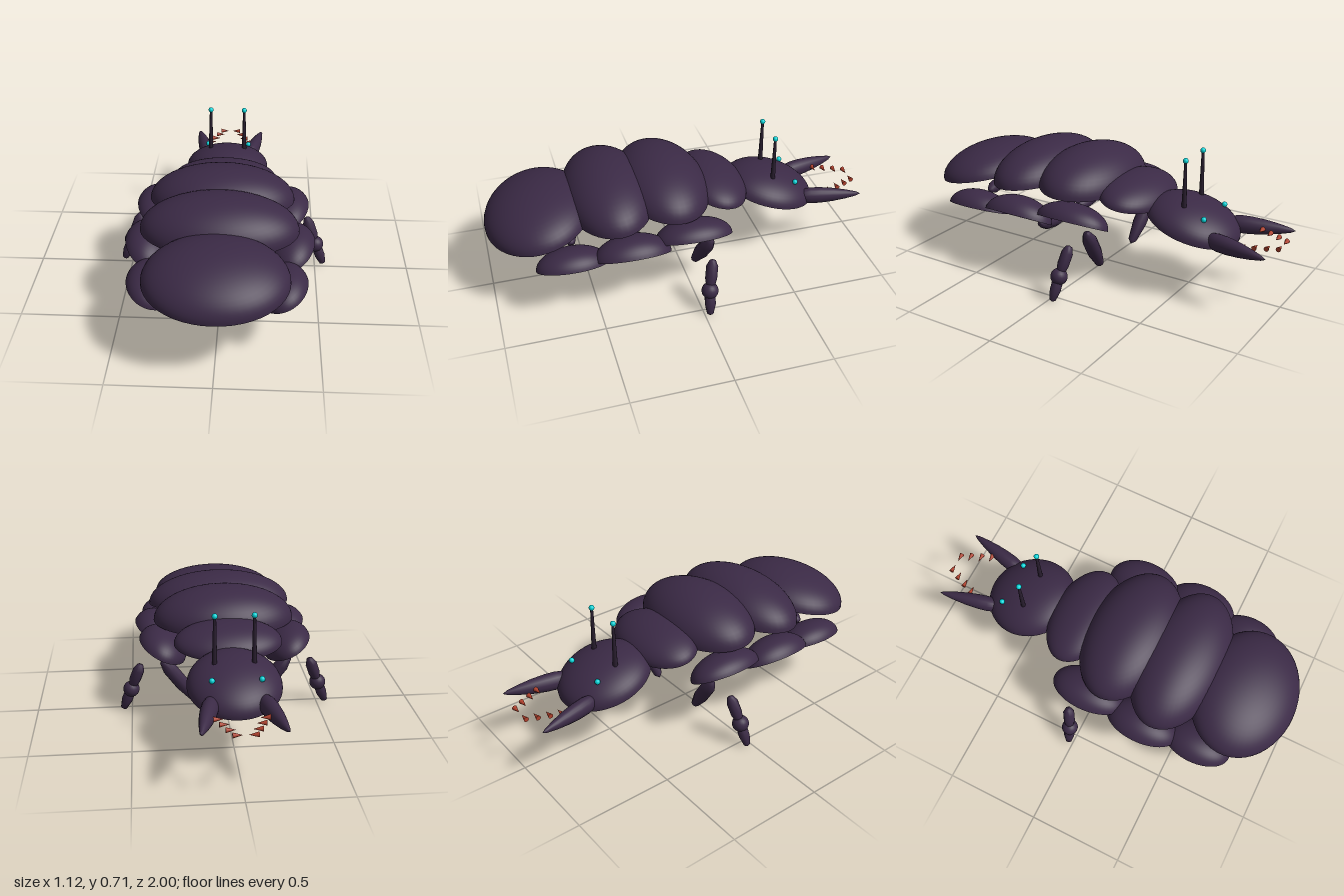
import * as THREE from 'three';
import { toCreasedNormals } from 'three/addons/utils/BufferGeometryUtils.js';

const mat = (name, color, opts = {}) => {
  const m = new THREE.MeshStandardMaterial({ color, ...opts });
  m.name = name;
  return m;
};

export function createModel() {
  const root = new THREE.Group();
  root.name = 'beetle';
  const chitin = mat('dark purple chitin', 0x3b2a46, { side: THREE.DoubleSide });
  const stalkDark = mat('dark stalk', 0x2a1f30);
  const teal = mat('teal glow', 0x00d4d8);
  const rust = mat('rust teeth', 0xb0402c);
  const v = (x, y, z) => new THREE.Vector3(x, y, z);

  const add = (name, geo, material, pos) => {
    const mesh = new THREE.Mesh(geo, material);
    mesh.name = name;
    mesh.position.copy(pos);
    root.add(mesh);
    return mesh;
  };

  // Hollow half dome: inner arc, flat rim, outer arc
  const profile = [];
  const N = 14, INNER = 0.93;
  for (let i = 0; i <= N; i++) {
    const a = (Math.PI / 2) * (1 - i / N);
    profile.push(new THREE.Vector2(INNER * Math.cos(a), INNER * Math.sin(a)));
  }
  for (let i = 0; i <= N; i++) {
    const a = (Math.PI / 2) * (i / N);
    profile.push(new THREE.Vector2(Math.max(0, Math.cos(a)), Math.sin(a)));
  }
  const domeGeo = toCreasedNormals(new THREE.LatheGeometry(profile, 48), 0.9);
  const dome = (name, pos, size, tiltX, tiltZ = 0) => {
    const m = add(name, domeGeo, chitin, pos);
    m.scale.set(...size);
    m.rotation.set(tiltX, 0, tiltZ);
  };

  // Turned solid running from a to b; shape rows are [radius, fraction along]
  const up = v(0, 1, 0);
  const limb = (name, a, b, shape, sides, material, flat = 1) => {
    const dir = b.clone().sub(a), len = dir.length();
    const pts = shape.map(([r, t]) => new THREE.Vector2(r, t * len));
    const m = add(name, new THREE.LatheGeometry(pts, sides), material, a);
    m.quaternion.setFromUnitVectors(up, dir.normalize());
    m.scale.x = flat;
  };
  const ball = (name, pos, r, material) =>
    add(name, new THREE.SphereGeometry(r, 20, 14), material, pos);

  // Body shells, tail to head
  dome('tailShell', v(0, 0.41, 0.73), [0.345, 0.15, 0.275], 0.19);
  dome('rearShell', v(0, 0.46, 0.37), [0.39, 0.174, 0.23], 0.08);
  dome('middleShell', v(0, 0.467, 0.082), [0.37, 0.175, 0.237], -0.08);
  dome('neckShell', v(0, 0.438, -0.195), [0.275, 0.1, 0.175], -0.2);
  dome('headShell', v(0, 0.345, -0.512), [0.23, 0.122, 0.247], -0.27);

  const capsule = (r) => [[0, 0], [r * 0.55, 0.04], [r, 0.22], [r, 0.6], [r * 0.6, 0.93], [0, 1]];
  const horn = [[0, 0], [0.024, 0.02], [0.039, 0.08], [0.046, 0.2], [0.045, 0.36],
    [0.038, 0.56], [0.026, 0.76], [0.012, 0.93], [0, 1]];

  for (const s of [1, -1]) {
    const side = s > 0 ? 'left' : 'right';
    const p = (x, y, z) => v(s * x, y, z);

    // Flank plates, outer edge raised
    dome(side + 'FrontPlate', p(0.33, 0.342, 0), [0.132, 0.104, 0.2], 0, s * 0.45);
    dome(side + 'MiddlePlate', p(0.355, 0.312, 0.32), [0.132, 0.113, 0.195], 0, s * 0.5);
    dome(side + 'RearPlate', p(0.315, 0.286, 0.615), [0.124, 0.098, 0.18], 0, s * 0.37);

    // Upper legs under the body
    limb(side + 'FrontUpperLeg', p(0.335, 0.31, -0.09), p(0.155, 0.052, -0.058), capsule(0.038), 10, chitin);
    limb(side + 'MiddleUpperLeg', p(0.3, 0.275, 0.22), p(0.045, 0.218, 0.25), capsule(0.038), 10, chitin);
    limb(side + 'RearUpperLeg', p(0.24, 0.36, 0.6), p(0.04, 0.392, 0.62), capsule(0.034), 10, chitin);

    // Outer lower legs with a ball joint
    limb(side + 'Shin', p(0.445, 0.278, -0.065), p(0.502, 0.12, -0.035), capsule(0.03), 10, chitin);
    limb(side + 'Foot', p(0.495, 0.14, -0.038), p(0.548, 0.003, -0.025), capsule(0.028), 10, chitin);
    ball(side + 'LegJoint', p(0.5, 0.125, -0.036), 0.043, chitin);

    // Head: mandible, eyes and antenna
    limb(side + 'Mandible', p(0.118, 0.33, -0.645), p(0.192, 0.333, -0.98), horn, 20, chitin, 0.88);
    ball(side + 'Eye', p(0.117, 0.424, -0.625), 0.014, teal);
    ball(side + 'LowerEye', p(0.072, 0.333, -0.662), 0.014, teal);
    limb(side + 'AntennaStalk', p(0.095, 0.44, -0.505), p(0.093, 0.692, -0.505),
      [[0, 0], [0.013, 0], [0.007, 1], [0, 1]], 12, stalkDark);
    ball(side + 'AntennaTip', p(0.093, 0.695, -0.505), 0.014, teal);

    // Inward-pointing teeth along an arc
    [[0.035, -0.988], [0.06, -0.938], [0.083, -0.885], [0.105, -0.833]].forEach(([x, z], i) => {
      const tooth = add(side + 'Tooth' + (i + 1), new THREE.ConeGeometry(0.013, 0.046, 10), rust, p(x, 0.333, z));
      tooth.rotation.z = s * Math.PI / 2;
    });
  }
  return root;
}
